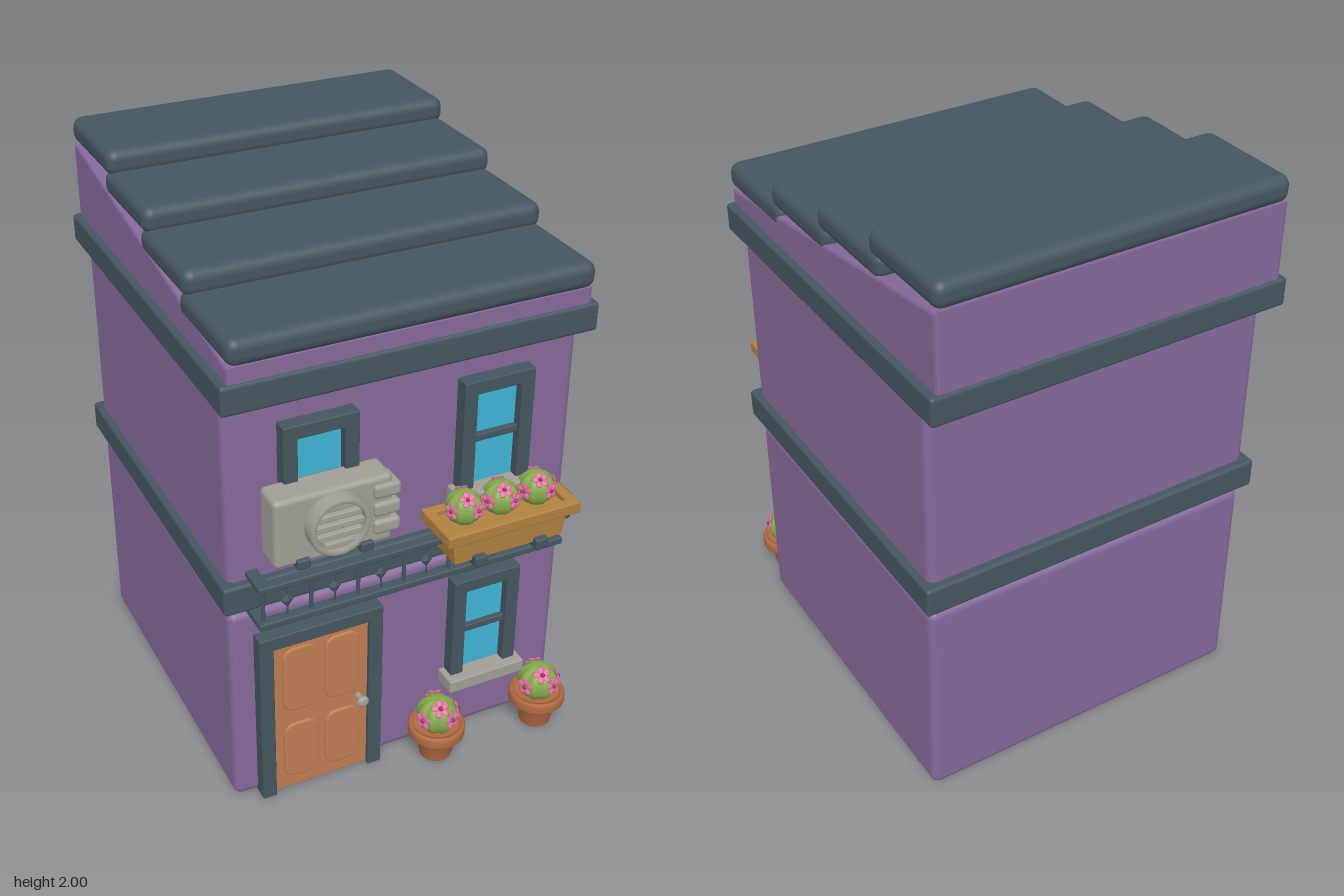
import * as THREE from 'three';
import { RoundedBoxGeometry } from 'three/addons/geometries/RoundedBoxGeometry.js';

const mat = (name, color) => {
  const m = new THREE.MeshStandardMaterial({ color });
  m.name = name;
  return m;
};

export function createModel() {
  const purple = mat('purpleWall', 0x85699a);
  const slate = mat('slateTrim', 0x455660);
  const doorWood = mat('doorWood', 0xbf7c52);
  const boxWood = mat('planterWood', 0xb0803f);
  const clay = mat('terracotta', 0xb36b42);
  const glass = mat('windowGlass', 0x40b4d4);
  const grey = mat('warmGrey', 0xa09e96);
  const green = mat('cactusGreen', 0x84ab4c);
  const pink = mat('petalPink', 0xe0709f);
  const magenta = mat('flowerCentre', 0x9c3560);

  const house = new THREE.Group();
  house.name = 'house';

  const add = (parent, name, geo, material, x = 0, y = 0, z = 0) => {
    const m = new THREE.Mesh(geo, material);
    m.name = name;
    m.position.set(x, y, z);
    parent.add(m);
    return m;
  };
  const group = (name, x = 0, y = 0, z = 0, parent = house) => {
    const g = new THREE.Group();
    g.name = name;
    g.position.set(x, y, z);
    parent.add(g);
    return g;
  };
  // Rounded block given by its extents on each axis
  const block = (parent, name, material, [x0, x1], [y0, y1], [z0, z1], r = 0.008) =>
    add(parent, name, new RoundedBoxGeometry(x1 - x0, y1 - y0, z1 - z0, r > 0.015 ? 4 : 2, r), material,
      (x0 + x1) / 2, (y0 + y1) / 2, (z0 + z1) / 2);

  // Storeys and the trim bands around them
  block(house, 'groundFloor', purple, [-0.615, 0.615], [0, 0.77], [-0.67, 0.56], 0.028);
  block(house, 'upperFloor', purple, [-0.615, 0.615], [0.775, 1.56], [-0.67, 0.56], 0.028);
  block(house, 'lowerBand', slate, [-0.64, 0.64], [0.8, 0.905], [-0.7, 0.59], 0.012);
  block(house, 'upperBand', slate, [-0.64, 0.64], [1.545, 1.645], [-0.75, 0.63], 0.012);

  // Sloped attic: side profile (z, y) extruded across the width
  const b = 0.012;
  const profile = new THREE.Shape([[0.62 - b, 1.6], [0.62 - b, 1.7 - b], [-0.74 + b, 1.91 - b], [-0.74 + b, 1.6]]
    .map(([z, y]) => new THREE.Vector2(z, y)).reverse());
  const atticGeo = new THREE.ExtrudeGeometry(profile,
    { depth: 1.23 - 2 * b, bevelSize: b, bevelThickness: b, bevelSegments: 2 });
  atticGeo.translate(0, 0, -(0.615 - b));
  atticGeo.rotateY(-Math.PI / 2);
  add(house, 'attic', atticGeo, purple);

  // Four overlapping roof slabs climbing to the back
  for (let i = 0; i < 4; i++) {
    const z = 0.64 - i * 0.331, y = 1.7 + i * 0.07;
    block(house, 'roofSlab', slate, [-0.617, 0.617], [y, y + 0.09], [z - 0.395, z], 0.035);
  }

  // Frame open at the bottom, used by the door and windows
  const frame = (parent, w, h, t) => {
    for (const s of [-1, 1]) {
      const x = s * (w - t) / 2;
      block(parent, 'jamb', slate, [x - t / 2, x + t / 2], [0, h], [-0.03, 0.05], 0.004);
    }
    block(parent, 'lintel', slate, [-w / 2 + t - 0.01, w / 2 - t + 0.01], [h - t, h], [-0.03, 0.05], 0.004);
  };

  // Door with four raised panels and a knob
  const door = group('door', -0.3125, 0, 0.56);
  frame(door, 0.445, 0.68, 0.05);
  block(door, 'doorLeaf', doorWood, [-0.178, 0.178], [0.004, 0.635], [-0.02, 0.034], 0.004);
  const panelShape = (w, h, r) => {
    const s = new THREE.Shape();
    s.absarc(w / 2 - r, h / 2 - r, r, 0, Math.PI / 2);
    s.absarc(-w / 2 + r, h / 2 - r, r, Math.PI / 2, Math.PI);
    s.absarc(-w / 2 + r, -h / 2 + r, r, Math.PI, Math.PI * 1.5);
    s.absarc(w / 2 - r, -h / 2 + r, r, Math.PI * 1.5, Math.PI * 2);
    return s;
  };
  for (const x of [-0.075, 0.078]) {
    for (const [y, h] of [[0.476, 0.25], [0.17, 0.22]]) {
      add(door, 'doorPanel', new THREE.ExtrudeGeometry(panelShape(0.115, h, 0.035),
        { depth: 0.004, bevelSize: 0.006, bevelThickness: 0.005, bevelSegments: 2, curveSegments: 6 }),
      doorWood, x, y, 0.034);
    }
  }
  const stem = add(door, 'knobStem', new THREE.CylinderGeometry(0.011, 0.011, 0.04, 12), grey, 0.139, 0.318, 0.05);
  stem.rotation.x = Math.PI / 2;
  add(door, 'doorKnob', new THREE.SphereGeometry(0.022, 16, 12), grey, 0.139, 0.318, 0.072).scale.z = 0.65;

  // Windows with a crossbar and a stone sill
  for (const [x, y] of [[0.308, 0.26], [0.308, 1.03], [-0.312, 1.03]]) {
    const win = group('window', x, y, 0.56);
    frame(win, 0.255, 0.42, 0.048);
    add(win, 'pane', new THREE.BoxGeometry(0.17, 0.38, 0.008), glass, 0, 0.19, 0.012);
    block(win, 'crossbar', slate, [-0.085, 0.085], [0.188, 0.214], [0, 0.035], 0.004);
    block(win, 'sill', grey, [-0.148, 0.148], [-0.025, 0.025], [-0.03, 0.085], 0.006);
  }

  // Air conditioner: casing, round fan grille, side louvres and feet
  const cooler = group('airConditioner', -0.31, 1.13, 0.56);
  block(cooler, 'casing', grey, [-0.2, 0.2], [-0.12, 0.125], [0.02, 0.135], 0.018);
  add(cooler, 'fanRing', new THREE.LatheGeometry([[0.082, 0], [0.082, 0.045], [0.086, 0.05], [0.098, 0.05],
    [0.103, 0.044], [0.103, 0]].map(([r, y]) => new THREE.Vector2(r, y)).reverse(), 32), grey, 0, 0.012, 0.133)
    .rotation.x = Math.PI / 2;
  const back = add(cooler, 'fanRecess', new THREE.CylinderGeometry(0.085, 0.085, 0.008, 32), slate, 0, 0.012, 0.137);
  back.rotation.x = Math.PI / 2;
  for (let i = 0; i < 5; i++) {
    const y = (i - 2) * 0.034;
    const half = Math.sqrt(0.084 ** 2 - y * y);
    block(cooler, 'fanSlat', grey, [-half, half], [0.001 + y, 0.023 + y], [0.138, 0.172], 0.004);
  }
  for (const y of [-0.055, 0.01, 0.075]) {
    block(cooler, 'louvre', grey, [0.13, 0.222], [y - 0.025, y + 0.025], [0.05, 0.15], 0.014);
  }
  for (const x of [-0.108, 0.107]) {
    block(cooler, 'bracket', slate, [x - 0.023, x + 0.023], [-0.132, -0.096], [-0.02, 0.15], 0.007);
  }

  // Balcony railing with diamond ornaments
  const rail = group('railing');
  for (const [y0, y1] of [[0.913, 0.937], [0.772, 0.798]]) {
    block(rail, 'rail', slate, [-0.555, 0.555], [y0, y1], [0.63, 0.67], 0.006);
    for (const s of [-1, 1]) {
      block(rail, 'sideRail', slate, [s * 0.535 - 0.02, s * 0.535 + 0.02], [y0, y1], [0.55, 0.66], 0.006);
    }
  }
  const bar = new THREE.CylinderGeometry(0.007, 0.007, 0.13, 8);
  const thinBar = new THREE.CylinderGeometry(0.003, 0.003, 0.13, 6);
  const diamond = new THREE.OctahedronGeometry(0.022);
  for (let i = 0; i < 14; i++) {
    const x = -0.535 + i * 0.0823;
    add(rail, 'baluster', i % 2 ? thinBar : bar, slate, x, 0.855, 0.65);
    if (i % 2) add(rail, 'diamond', diamond, slate, x, 0.855, 0.65).scale.set(1, 1.3, 0.5);
  }

  // Five-petalled flower facing along a direction
  const petalGeo = new THREE.SphereGeometry(1, 8, 6);
  const flower = (parent, dir, dist, size) => {
    const f = group('flower', 0, 0, 0, parent);
    f.position.copy(dir).multiplyScalar(dist);
    f.quaternion.setFromUnitVectors(new THREE.Vector3(0, 0, 1), dir);
    for (let i = 0; i < 5; i++) {
      const a = i * Math.PI * 0.4 + Math.PI / 2;
      const p = add(f, 'petal', petalGeo, pink, Math.cos(a) * size * 0.6, Math.sin(a) * size * 0.6, size * 0.12);
      p.scale.set(size * 0.46, size * 0.36, size * 0.14);
      p.rotation.set(0, 0, a);
    }
    add(f, 'flowerCentre', petalGeo, magenta, 0, 0, size * 0.2).scale.setScalar(size * 0.25);
  };

  // Ribbed round cactus: the sphere swells and dips around its axis
  const cactusGeo = new THREE.SphereGeometry(1, 48, 16);
  const pos = cactusGeo.attributes.position;
  for (let i = 0; i < pos.count; i++) {
    const k = 1 + 0.06 * Math.cos(8 * Math.atan2(pos.getZ(i), pos.getX(i)));
    pos.setXYZ(i, pos.getX(i) * k, pos.getY(i), pos.getZ(i) * k);
  }
  cactusGeo.computeVertexNormals();
  const flowerDirs = [[-1, 0.15, 0.35], [1, 0.25, 0.4], [-0.15, 0.8, 0.6], [0.35, 0.2, 1], [0.3, 0.45, -0.9]];
  const cactus = (x, y, z, r) => {
    const c = group('cactus', x, y, z);
    add(c, 'cactusBody', cactusGeo, green).scale.setScalar(r);
    for (const d of flowerDirs) flower(c, new THREE.Vector3(...d).normalize(), r * 0.98, r * 0.46);
  };

  // Planter box on brackets below the upper window
  const planter = group('planterBox', 0.3075, 0, 0.66);
  const trough = new THREE.CylinderGeometry(Math.SQRT1_2, Math.SQRT1_2 * 0.94, 1, 4, 1).toNonIndexed();
  trough.rotateY(Math.PI / 4);
  trough.computeVertexNormals();
  add(planter, 'trough', trough, boxWood, 0, 0.91, 0).scale.set(0.43, 0.1, 0.13);
  for (const s of [-1, 1]) {
    block(planter, 'longRim', boxWood, [-0.247, 0.247], [0.952, 0.995], [s * 0.077 - 0.018, s * 0.077 + 0.018], 0.006);
    block(planter, 'endRim', boxWood, [s * 0.227 - 0.02, s * 0.227 + 0.02], [0.953, 0.994], [-0.09, 0.09], 0.006);
    block(planter, 'support', slate, [s * 0.115 - 0.023, s * 0.115 + 0.023], [0.838, 0.878], [-0.11, 0.085], 0.007);
  }
  block(planter, 'soilBoard', boxWood, [-0.22, 0.22], [0.95, 0.975], [-0.07, 0.07], 0.004);
  for (const x of [0.165, 0.3, 0.435]) cactus(x, 1.032, 0.66, 0.06);

  // Potted cacti on the ground
  const potGeo = new THREE.LatheGeometry([[0, 0], [0.05, 0], [0.056, 0.006], [0.072, 0.098], [0.095, 0.098],
    [0.1, 0.104], [0.1, 0.132], [0.094, 0.14], [0.082, 0.14], [0.078, 0.12], [0, 0.12]]
    .map(([r, y]) => new THREE.Vector2(r, y)), 28);
  for (const x of [0.105, 0.515]) {
    add(house, 'flowerPot', potGeo, clay, x, 0, 0.655);
    cactus(x, 0.178, 0.655, 0.07);
  }

  return house;
}
